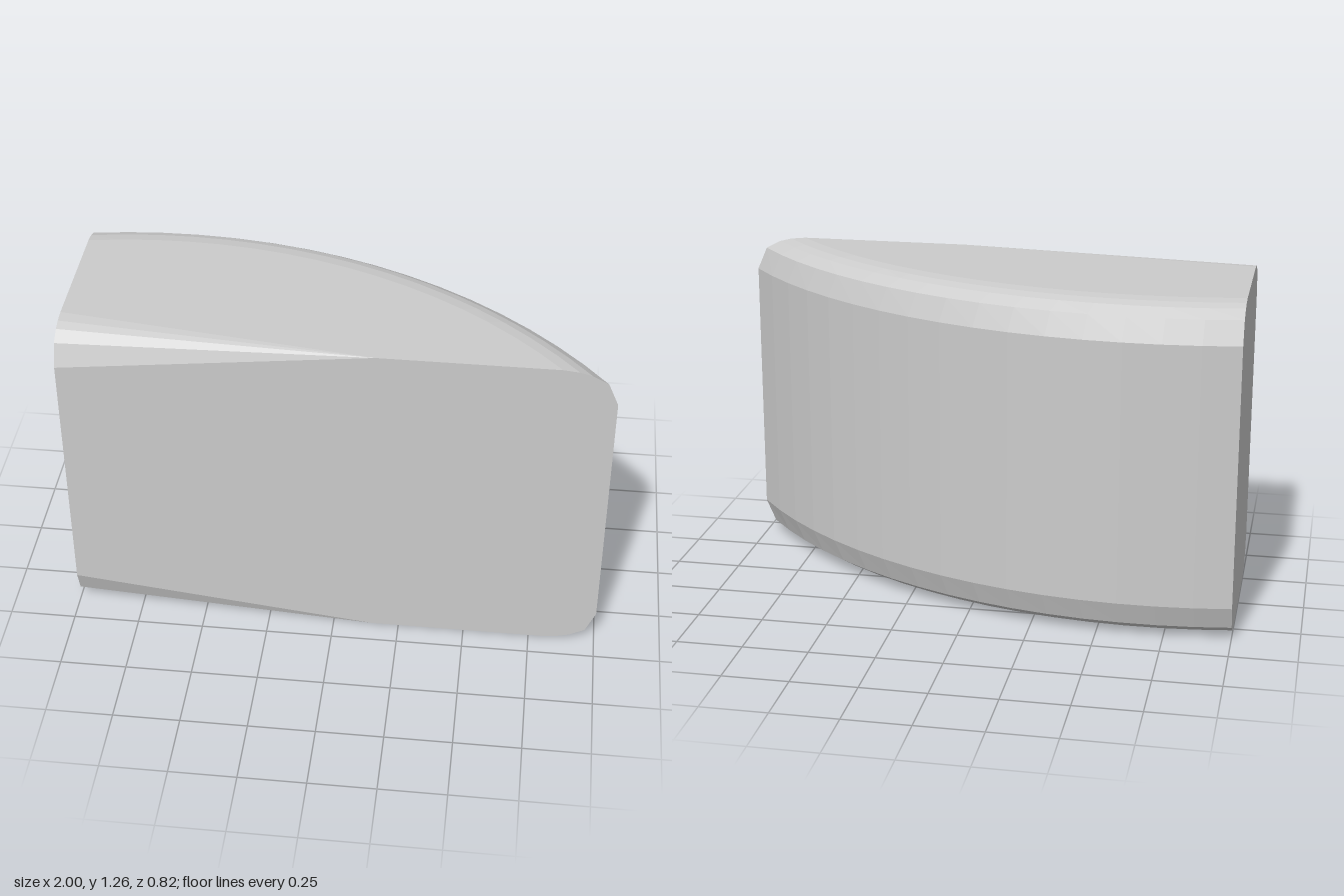
import * as THREE from 'three';

const H = 1.265, FRONT = 0.41, LEFT = -1;
const CX = -0.65, CZ = 1.66, R = 2.07; // circle of the curved back wall
const TAPER_X = 0.15; // where the front bevel fades out
const ARC = 16;

// Bevel steps from the wall to the cap: inset and drop below the cap
const BEVEL = [[0, 0.135], [0.03, 0.048], [0.075, 0.018], [0.11, 0.006], [0.155, 0]];

// One closed outline: curved back, then the straight front edge
function ring(inset, drop, top) {
  const level = (d) => (top ? H - d : d);
  const r = R - inset;
  const a0 = Math.asin((LEFT - CX) / r);
  const a1 = Math.acos((CZ - FRONT) / r);
  const pts = [];
  for (let i = 0; i <= ARC; i++) {
    const a = a0 + (a1 - a0) * i / ARC;
    pts.push([CX + r * Math.sin(a), level(drop), CZ - r * Math.cos(a)]);
  }
  pts.push([TAPER_X, level(0), FRONT]);
  pts.push([LEFT, level(drop), FRONT - inset]);
  return pts;
}

function bodyGeometry() {
  const rings = [
    ...[...BEVEL].reverse().map(([i, d]) => ring(i, d, false)),
    ...BEVEL.map(([i, d]) => ring(i, d, true)),
  ];
  const n = rings[0].length;
  const index = [];
  // Walls and bevels
  for (let k = 0; k < rings.length - 1; k++) {
    for (let j = 0; j < n; j++) {
      const a = k * n + j, b = k * n + (j + 1) % n;
      index.push(a, a + n, b + n, a, b + n, b);
    }
  }
  // Flat bottom and top
  const t = (rings.length - 1) * n;
  for (let j = 1; j < n - 1; j++) {
    index.push(0, j, j + 1, t, t + j + 1, t + j);
  }
  const geo = new THREE.BufferGeometry();
  geo.setAttribute('position', new THREE.Float32BufferAttribute(rings.flat(2), 3));
  geo.setIndex(index);
  const flat = geo.toNonIndexed();
  flat.computeVertexNormals();
  return flat;
}

export function createModel() {
  const group = new THREE.Group();
  group.name = 'curvedBlock';
  const material = new THREE.MeshStandardMaterial({ color: 0xcccccc, flatShading: true });
  const body = new THREE.Mesh(bodyGeometry(), material);
  body.name = 'bevelledBody';
  group.add(body);
  return group;
}
